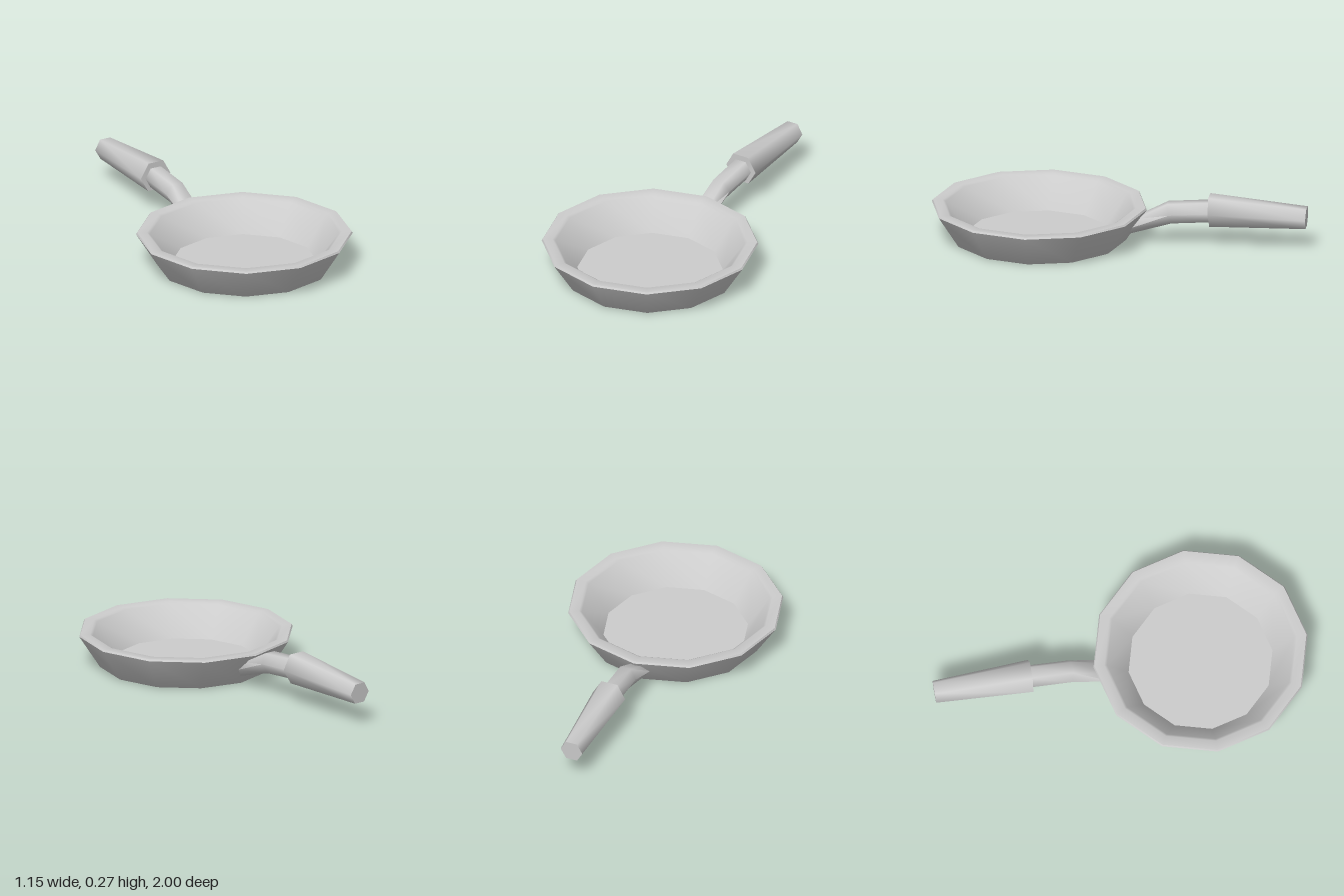
import * as THREE from 'three';
import { toCreasedNormals } from 'three/addons/utils/BufferGeometryUtils.js';

const material = new THREE.MeshStandardMaterial({ color: 0xcccccc });
const SIDES = 6;

// Closed hexagonal loft running towards -z. Each ring: [z, y, radius, tilt],
// where a positive tilt leans the top of the ring towards -z.
function hexLoft(rings) {
  const pos = [], idx = [];
  for (const [z, y, r, tilt] of rings) {
    for (let i = 0; i < SIDES; i++) {
      const a = (i / SIDES) * Math.PI * 2;
      const v = r * Math.sin(a);
      pos.push(r * Math.cos(a), y + v * Math.cos(tilt), z - v * Math.sin(tilt));
    }
  }
  for (let k = 0; k < rings.length - 1; k++) {
    for (let i = 0; i < SIDES; i++) {
      const j = (i + 1) % SIDES;
      const a = k * SIDES + i, b = k * SIDES + j;
      idx.push(a, a + SIDES, b, b, a + SIDES, b + SIDES);
    }
  }
  // End caps
  const last = (rings.length - 1) * SIDES;
  for (let i = 1; i < SIDES - 1; i++) {
    idx.push(0, i, i + 1, last, last + i + 1, last + i);
  }
  const geo = new THREE.BufferGeometry();
  geo.setAttribute('position', new THREE.Float32BufferAttribute(pos, 3));
  geo.setIndex(idx);
  return toCreasedNormals(geo, THREE.MathUtils.degToRad(65));
}

function part(name, geometry) {
  const mesh = new THREE.Mesh(geometry, material);
  mesh.name = name;
  return mesh;
}

export function createModel() {
  const group = new THREE.Group();
  group.name = 'fryingPan';

  // Twelve-sided dish: underside, flared wall, rim, inner wall and floor
  const profile = [
    [0, 0], [0.452, 0], [0.462, 0.006], [0.573, 0.178], [0.567, 0.187],
    [0.515, 0.187], [0.5, 0.178], [0.385, 0.02], [0, 0.02],
  ].map(([r, y]) => new THREE.Vector2(r, y));
  const dish = part('dish', toCreasedNormals(
    new THREE.LatheGeometry(profile, 12), THREE.MathUtils.degToRad(40)));
  dish.position.z = 0.427;
  group.add(dish);

  // Bent arm, its root buried in the dish wall
  group.add(part('handleArm', hexLoft([
    [-0.06, 0.09, 0.061, 0.55],
    [-0.27, 0.172, 0.062, -0.22],
    [-0.5, 0.19, 0.062, -0.05],
  ])));

  // Tapered grip, thickest at the collar
  group.add(part('handleGrip', hexLoft([
    [-0.482, 0.194, 0.091, -0.04],
    [-0.998, 0.174, 0.062, 0.04],
  ])));

  return group;
}
